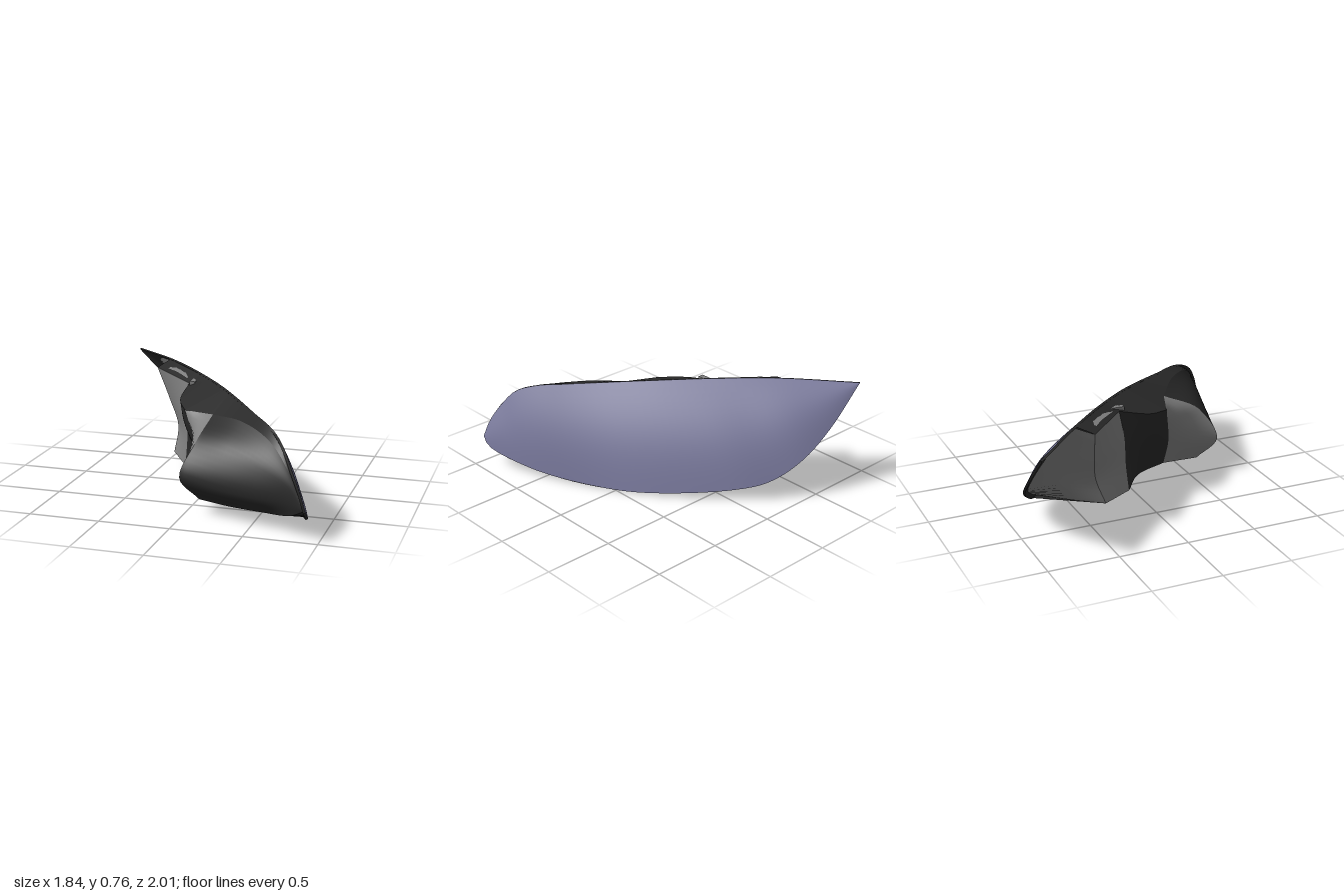
import * as THREE from 'three';

const lensMat = new THREE.MeshStandardMaterial({ name: 'lavender lens', color: 0x7a7a9e });
const darkMat = new THREE.MeshStandardMaterial({ name: 'dark housing', color: 0x292929, side: THREE.DoubleSide });
const greyMat = new THREE.MeshStandardMaterial({ name: 'grey panel', color: 0x808080, side: THREE.DoubleSide });

const vec = (p) => new THREE.Vector3(...p);
const smooth = (vectors) => new THREE.CatmullRomCurve3(vectors, false, 'centripetal');
const curve = (pts) => smooth(pts.map(vec));

// Skin through rows of points; rows run leftwards and columns downwards as seen from outside
function loft(name, rows, material) {
  const cols = rows[0].length;
  const index = [];
  for (let i = 0; i < rows.length - 1; i++) {
    for (let j = 0; j < cols - 1; j++) {
      const a = i * cols + j, b = a + 1, c = a + cols, d = c + 1;
      index.push(a, c, b, b, c, d);
    }
  }
  const geo = new THREE.BufferGeometry().setFromPoints(rows.flat());
  geo.setIndex(index);
  geo.computeVertexNormals();
  const mesh = new THREE.Mesh(geo, material);
  mesh.name = name;
  return mesh;
}

// Lens outline: upper and lower edges share both tips
const upperEdge = curve([
  [-0.91, 0.735, -1], [-0.5, 0.76, -0.59], [-0.2, 0.75, -0.29], [0.1, 0.72, 0.03], [0.5, 0.65, 0.52],
  [0.64, 0.62, 0.7], [0.73, 0.56, 0.83], [0.8, 0.45, 0.91], [0.87, 0.32, 0.97], [0.915, 0.2, 0.995],
]);
const lowerEdge = curve([
  [-0.91, 0.735, -1], [-0.62, 0.46, -0.99], [-0.4, 0.28, -0.945], [-0.2, 0.14, -0.83], [0, 0.08, -0.66],
  [0.4, 0.01, -0.17], [0.6, 0.005, 0.18], [0.8, 0.05, 0.58], [0.92, 0.145, 0.94], [0.915, 0.2, 0.995],
]);

function lensRows(inset) {
  const rows = [], n = 56, m = 16;
  for (let i = 0; i <= n; i++) {
    const top = upperEdge.getPointAt(i / n), low = lowerEdge.getPointAt(i / n);
    const depth = top.distanceTo(low) * (0.085 - 0.05 * i / n), row = [];
    for (let j = 0; j <= m; j++) {
      const bulge = Math.sin(Math.PI * j / m) * depth - inset;
      row.push(top.clone().lerp(low, j / m).add(new THREE.Vector3(0.75, 0.25, -0.6).multiplyScalar(bulge)));
    }
    rows.push(row);
  }
  return rows;
}

// Point of a lens edge nearest to a given x
function edgeAt(edge, x) {
  return edge.getPoints(300).reduce((best, p) => (Math.abs(p.x - x) < Math.abs(best.x - x) ? p : best));
}

// Housing cross-section: x on the upper and lower lens edges, then the back from top to bottom
const section = (upperX, lowerX, ...back) => [edgeAt(upperEdge, upperX), ...back.map(vec), edgeAt(lowerEdge, lowerX)];
const tip = [0.9, 0.2, 0.975];
const sections = [
  section(0.89, 0.905, tip, tip, tip, tip),
  section(0.79, 0.86, [0.785, 0.42, 0.91], [0.78, 0.34, 0.93], [0.78, 0.23, 0.935], [0.79, 0.14, 0.915]),
  section(0.65, 0.72, [0.63, 0.57, 0.77], [0.58, 0.42, 0.85], [0.55, 0.22, 0.875], [0.58, 0.1, 0.79]),
  section(0.4, 0.55, [0.36, 0.63, 0.52], [0.3, 0.47, 0.72], [0.25, 0.23, 0.795], [0.3, 0.08, 0.68]),
  section(0.15, 0.34, [0.095, 0.61, 0.33], [0.055, 0.48, 0.6], [-0.025, 0.26, 0.715], [0.08, 0.08, 0.6]),
  section(0.09, 0.28, [-0.14, 0.6, 0.24], [-0.08, 0.48, 0.28], [0.01, 0.28, 0.33], [0.09, 0.08, 0.33]),
  section(-0.05, 0.14, [-0.23, 0.63, 0.07], [-0.2, 0.47, 0.08], [-0.12, 0.28, 0.08], [0, 0.07, 0.09]),
  section(-0.17, 0.03, [-0.24, 0.69, -0.17], [-0.24, 0.48, -0.13], [-0.24, 0.28, -0.12], [-0.25, 0.08, -0.1]),
  section(-0.53, -0.2, [-0.6, 0.71, -0.5], [-0.49, 0.48, -0.46], [-0.41, 0.29, -0.42], [-0.42, 0.1, -0.35]),
];

// Back of a section; a section closed to a point stays a point
function backCurve(s) {
  const back = s.slice(1, 5);
  return back[0].distanceTo(back[3]) < 1e-4 ? Array(19).fill(back[0]) : smooth(back).getPoints(18);
}

// Housing between two sections, smoothed lengthwise
function housingPart(name, from, to, steps, backMat) {
  const group = new THREE.Group();
  group.name = name;
  const part = sections.slice(from, to + 1);
  const rails = part[0].map((_, k) => smooth(part.map((s) => s[k])));
  const rows = Array.from({ length: steps + 1 }, (_, i) => rails.map((r) => r.getPoint(i / steps)));
  group.add(
    loft(name + 'Top', rows.map((r) => [r[0], r[1]]), darkMat),
    loft(name + 'Back', rows.map(backCurve), backMat),
    loft(name + 'Bottom', rows.map((r) => [r[4], r[5]]), darkMat),
  );
  return group;
}

export function createModel() {
  const model = new THREE.Group();
  model.name = 'lampUnit';

  // Curved lens, its dark lining and the thin rim between them
  const outer = lensRows(0), inner = lensRows(0.018);
  model.add(loft('lens', outer, lensMat));
  model.add(loft('lensLining', inner.slice().reverse(), darkMat));
  const last = outer[0].length - 1;
  model.add(loft('upperRim', outer.map((r, i) => [inner[i][0], r[0]]), darkMat));
  model.add(loft('lowerRim', outer.map((r, i) => [r[last], inner[i][last]]), darkMat));

  // Housing behind the lens
  model.add(housingPart('outerHousing', 0, 4, 32, darkMat));
  model.add(housingPart('housingStep', 4, 5, 4, greyMat));
  model.add(housingPart('middleHousing', 5, 7, 14, darkMat));
  model.add(housingPart('innerPanel', 7, 8, 6, greyMat));

  // Closed inner end, running along the rim to the inside of the lens
  const middle = curve([[-0.53, 0.745, -0.61], [-0.44, 0.5, -0.64], [-0.36, 0.3, -0.62], [-0.32, 0.12, -0.55]]);
  const rear = curve([[-0.73, 0.74, -0.83], [-0.58, 0.5, -0.91], [-0.43, 0.32, -0.92], [-0.2, 0.16, -0.81]]);
  model.add(loft('housingEnd', [backCurve(sections[8]), middle.getPoints(18), rear.getPoints(18)], greyMat));

  // Small grey details on top of the housing
  const lipOuter = curve([[-0.5, 0.722, -0.445], [-0.4, 0.72, -0.36], [-0.27, 0.71, -0.22]]).getPoints(8);
  const lipInner = curve([[-0.49, 0.728, -0.46], [-0.38, 0.735, -0.42], [-0.27, 0.715, -0.24]]).getPoints(8);
  model.add(loft('panelLip', lipOuter.map((p, i) => [p, lipInner[i]]), greyMat));
  const clip = new THREE.Mesh(new THREE.BoxGeometry(0.04, 0.05, 0.11), greyMat);
  clip.name = 'clip';
  clip.position.set(-0.205, 0.69, -0.18);
  model.add(clip);
  return model;
}
